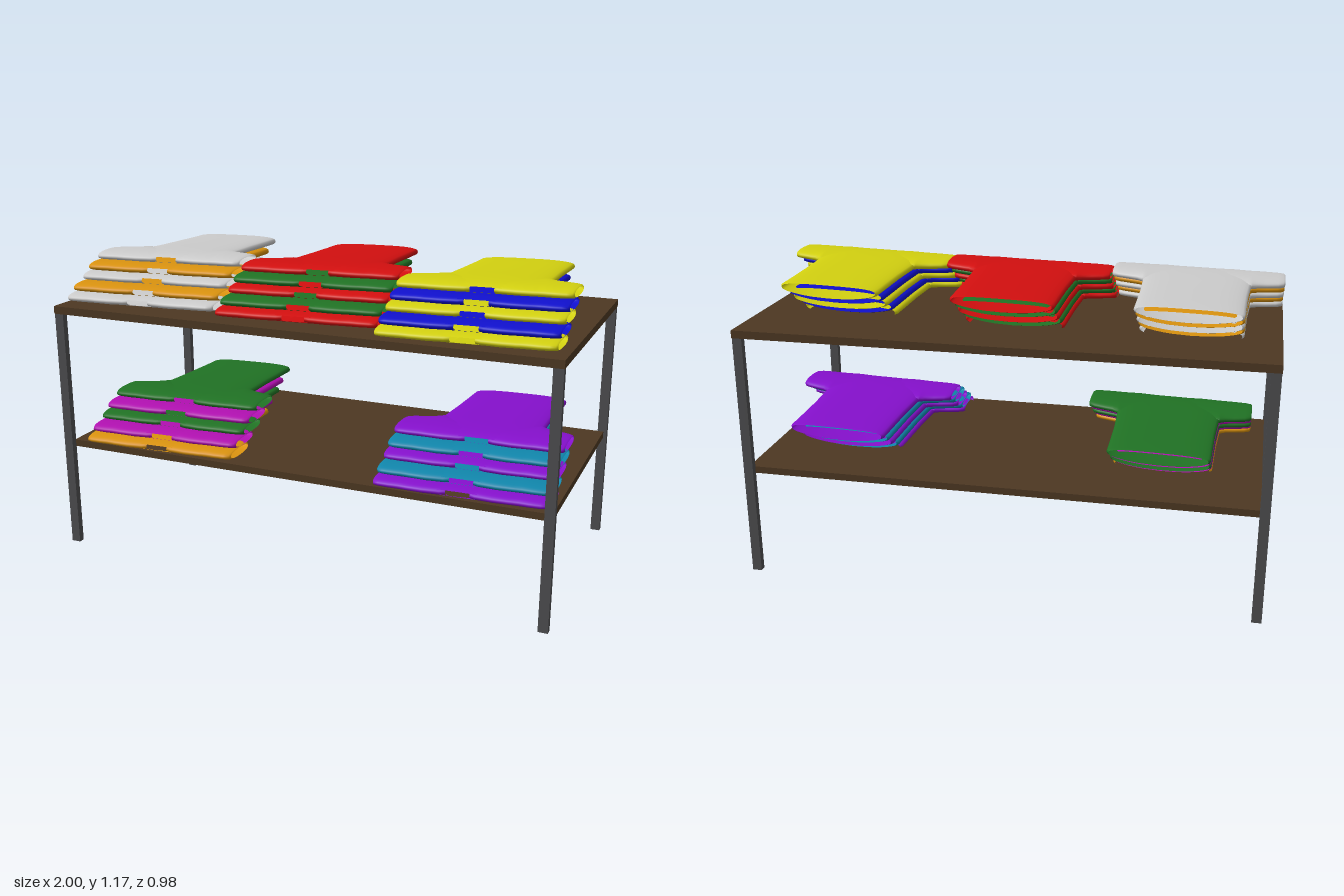
import * as THREE from 'three';

const mat = (color, side = THREE.FrontSide) => new THREE.MeshStandardMaterial({ color, side, roughness: 0.8 });

// Smooth open tube skinned over equal-length closed loops of points
function skin(loops) {
  const n = loops[0].length, index = [];
  for (let i = 0; i < loops.length - 1; i++) {
    for (let j = 0; j < n; j++) {
      const a = i * n + j, b = i * n + (j + 1) % n;
      index.push(a, b, a + n, b, b + n, a + n);
    }
  }
  const geo = new THREE.BufferGeometry();
  geo.setAttribute('position', new THREE.Float32BufferAttribute(loops.flat(2), 3));
  geo.setIndex(index);
  geo.computeVertexNormals();
  return geo;
}

// Unit rounded-flat cross-section
const SIDES = 32;
const pow = (v, e) => Math.sign(v) * Math.abs(v) ** e;
const section = (e) => Array.from({ length: SIDES }, (_, i) => {
  const a = (i / SIDES) * Math.PI * 2;
  return [pow(Math.cos(a), e), pow(Math.sin(a), e)];
});

// Torso: [z, half width, half height, centre y, belly sag], open at hem and neck
function torsoGeometry() {
  const rows = [
    [-0.625, 0.183, 0.018, -0.012, 0.013],
    [-0.612, 0.191, 0.021, -0.012, 0.014],
    [-0.52, 0.192, 0.021, -0.010, 0.014],
    [-0.38, 0.194, 0.021, -0.006, 0.008],
    [-0.25, 0.200, 0.021, -0.003, 0.002],
    [-0.19, 0.205, 0.021, 0, 0],
    [-0.10, 0.205, 0.0215, 0, 0],
    [-0.05, 0.200, 0.019, 0, 0],
    [-0.025, 0.190, 0.015, 0, 0],
    [-0.01, 0.170, 0.010, 0, 0],
  ];
  const s = section(0.65);
  return skin(rows.map(([z, w, h, cy, sag]) => s.map(([c, t]) =>
    [c * w, cy + t * h + (t < 0 ? t * sag * (1 - c * c) : 0), z])));
}

// Sleeve and shoulder: [x, front z, back z, half height], open at the cuff
function sleeveGeometry(side) {
  const rows = [
    [0.045, -0.010, -0.17, 0.018],
    [0.065, -0.003, -0.19, 0.020],
    [0.13, 0.002, -0.20, 0.021],
    [0.19, 0.000, -0.235, 0.021],
    [0.205, -0.001, -0.222, 0.021],
    [0.225, -0.002, -0.207, 0.021],
    [0.26, -0.001, -0.197, 0.020],
    [0.30, -0.003, -0.185, 0.019],
    [0.319, -0.010, -0.174, 0.018],
    [0.325, -0.022, -0.162, 0.015],
  ];
  const s = section(0.85);
  return skin(rows.map(([x, f, b, h]) => s.map(([c, t]) =>
    [side * x, t * h, (f + b) / 2 + c * (f - b) / 2])));
}

export function createModel() {
  const model = new THREE.Group();
  model.name = 'shirtDisplayTable';

  // Table boards and legs
  const wood = mat(0x4d3822), metal = mat(0x4d4d4f);
  const box = (name, w, h, d, x, y, z, m) => {
    const mesh = new THREE.Mesh(new THREE.BoxGeometry(w, h, d), m);
    mesh.name = name;
    mesh.position.set(x, y, z);
    model.add(mesh);
  };
  box('tableTop', 2, 0.03, 0.98, 0, 0.98, 0, wood);
  box('lowerShelf', 1.95, 0.027, 0.93, 0.01, 0.428, 0, wood);
  for (const x of [-1, 1]) for (const z of [-1, 1]) {
    box('leg', 0.037, 0.965, 0.025, x * 0.98, 0.4825, z * 0.476, metal);
  }

  // Shirt parts shared by every stack
  const parts = [
    ['torso', torsoGeometry()],
    ['rightSleeve', sleeveGeometry(-1)],
    ['leftSleeve', sleeveGeometry(1)],
  ];
  const cloth = {};
  const colors = {
    white: 0xcccccc, orange: 0xd9920f, red: 0xd20f0f, green: 0x207224, yellow: 0xd2d010,
    blue: 0x1010cc, violet: 0x8510cc, teal: 0x1085aa, magenta: 0xb010b0,
  };
  for (const k in colors) cloth[k] = mat(colors[k], THREE.DoubleSide);

  // Stacks, each listed from the bottom shirt up and stepping towards the back
  const steps = [0, -0.042, -0.11, -0.153, -0.22];
  const stacks = [
    ['topRightStack', -0.672, 1.018, 0.418, 0, 'white orange white orange white'],
    ['topMiddleStack', -0.013, 1.018, 0.418, 0, 'red green red green red'],
    ['topLeftStack', 0.642, 1.018, 0.472, -0.02, 'yellow blue yellow blue yellow'],
    ['lowerRightStack', -0.585, 0.457, 0.472, 0, 'orange magenta green magenta green'],
    ['lowerLeftStack', 0.642, 0.457, 0.468, -0.02, 'violet teal violet teal violet'],
  ];
  for (const [name, x, y, z, turn, list] of stacks) {
    const stack = new THREE.Group();
    stack.name = name;
    stack.position.set(x, y, z);
    list.split(' ').forEach((color, i) => {
      const shirt = new THREE.Group();
      shirt.name = color + 'Shirt';
      shirt.position.set(0, i * 0.0325, steps[i]);
      shirt.rotation.set(0, turn, 0.022);
      for (const [part, geo] of parts) {
        const mesh = new THREE.Mesh(geo, cloth[color]);
        mesh.name = part;
        shirt.add(mesh);
      }
      stack.add(shirt);
    });
    model.add(stack);
  }
  return model;
}
